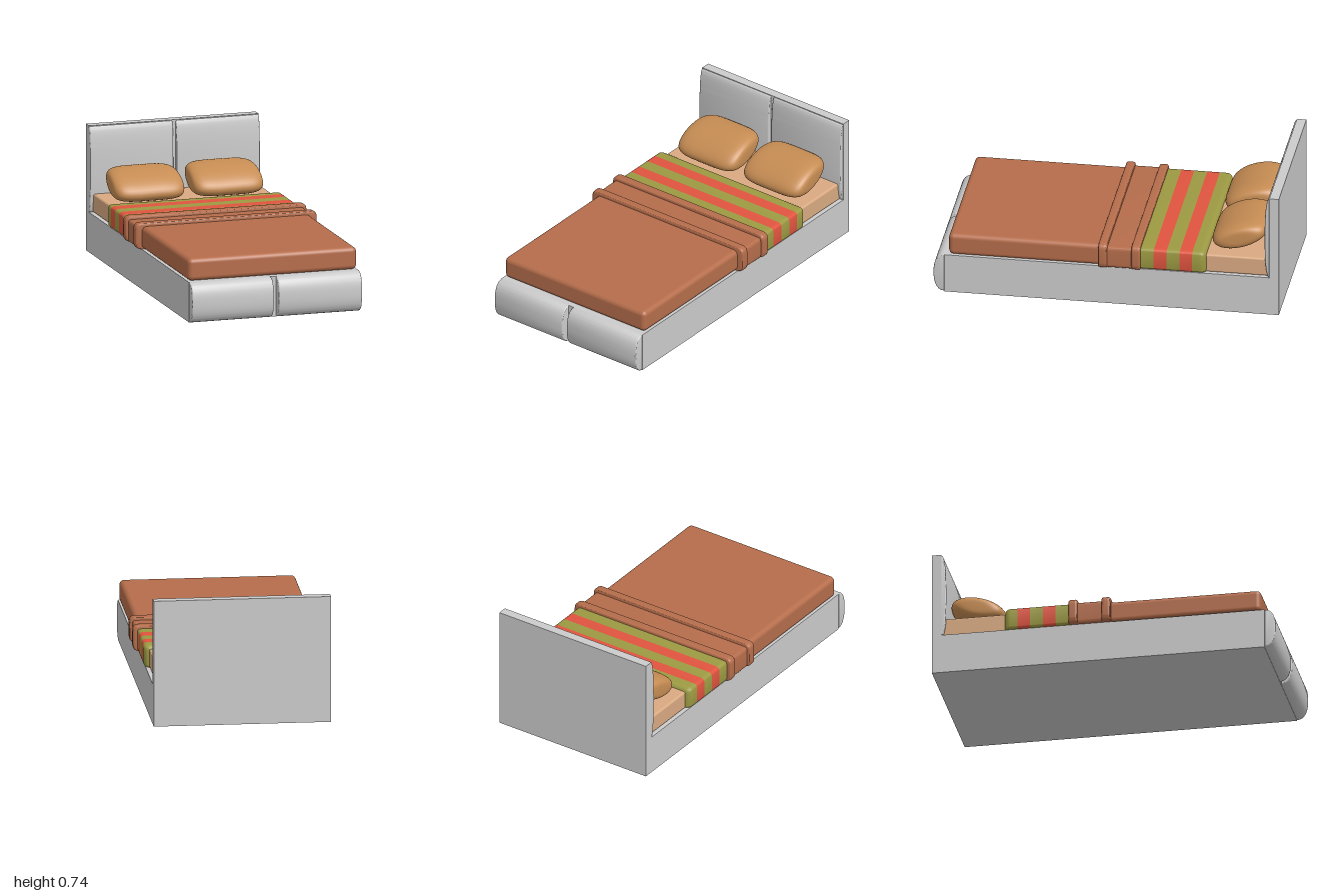
import * as THREE from 'three';
import { toCreasedNormals } from 'three/addons/utils/BufferGeometryUtils.js';
import { RoundedBoxGeometry } from 'three/addons/geometries/RoundedBoxGeometry.js';

const BASE_TOP = 0.235;
const material = (color) => new THREE.MeshStandardMaterial({ color });
const GREY = material(0xcccccc);
const BROWN = material(0xb56d4b);
const GREEN = material(0x9c9a42);
const RED = material(0xe0543f);
const TAN = material(0xd9aa82);
const PILLOW = material(0xc68c53);

function add(group, name, geometry, mat) {
  const mesh = new THREE.Mesh(geometry, mat);
  mesh.name = name;
  group.add(mesh);
  return mesh;
}

// Plain or rounded box given by its limits on each axis
function block([x0, x1], [y0, y1], [z0, z1], radius = 0) {
  const size = [x1 - x0, y1 - y0, z1 - z0];
  const geo = radius ? new RoundedBoxGeometry(...size, 5, radius) : new THREE.BoxGeometry(...size);
  return geo.translate((x0 + x1) / 2, (y0 + y1) / 2, (z0 + z1) / 2);
}

// Upholstered pad: bulging side profile swept along x
function pad([x0, x1], [y0, y1], zBack, bulge) {
  const bevel = 0.006, n = 2.4, points = [];
  for (let i = 0; i <= 32; i++) {
    const a = -Math.PI / 2 + (i / 32) * Math.PI;
    const s = Math.sin(a), c = Math.max(0, Math.cos(a));
    points.push(new THREE.Vector2(
      bulge * c ** (2 / n),
      (y0 + y1) / 2 + ((y1 - y0) / 2) * Math.sign(s) * Math.abs(s) ** (2 / n)));
  }
  const geo = new THREE.ExtrudeGeometry(new THREE.Shape(points), {
    depth: x1 - x0 - 2 * bevel, bevelThickness: bevel, bevelSize: bevel, bevelOffset: -bevel, bevelSegments: 3,
  });
  geo.rotateY(-Math.PI / 2).translate(x1 - bevel, 0, zBack);
  return toCreasedNormals(geo, 0.7);
}

// Cloth band across the bed: rounded section swept along z, its ends drawn in by the given amounts
function band(halfWidth, top, z0, z1, radius, insetBack = 0, insetFront = 0) {
  const w = halfWidth, r = radius, b = BASE_TOP;
  const shape = new THREE.Shape();
  shape.moveTo(-w + r, b);
  shape.lineTo(w - r, b);
  shape.quadraticCurveTo(w, b, w, b + r);
  shape.lineTo(w, top - r);
  shape.quadraticCurveTo(w, top, w - r, top);
  shape.lineTo(-w + r, top);
  shape.quadraticCurveTo(-w, top, -w, top - r);
  shape.lineTo(-w, b + r);
  shape.quadraticCurveTo(-w, b, -w + r, b);
  const geo = new THREE.ExtrudeGeometry(shape, {
    depth: z1 - z0, steps: insetBack || insetFront ? 24 : 1, bevelEnabled: false, curveSegments: 6,
  }).translate(0, 0, z0);
  const pos = geo.attributes.position;
  const draw = (distance, inset) => {
    if (!inset) return 0;
    const t = THREE.MathUtils.clamp(1 - distance / inset, 0, 1);
    return inset * (1 - Math.sqrt(1 - t * t));
  };
  for (let i = 0; i < pos.count; i++) {
    const z = pos.getZ(i);
    const d = draw(z - z0, insetBack) + draw(z1 - z, insetFront);
    pos.setX(i, pos.getX(i) * (1 - d / w));
    pos.setY(i, b + (pos.getY(i) - b) * (1 - d * 0.7 / (top - b)));
  }
  return toCreasedNormals(geo, 0.8);
}

// Pillow: sphere with its poles along x, squared off towards the ends
function pillowGeometry(hx, hy, hz) {
  const geo = new THREE.SphereGeometry(1, 40, 40).rotateZ(Math.PI / 2);
  const pos = geo.attributes.position;
  const n = 4.5;
  for (let i = 0; i < pos.count; i++) {
    const x = pos.getX(i), y = pos.getY(i), z = pos.getZ(i);
    const ring = Math.hypot(y, z);
    const grow = ring > 1e-5 ? ring ** (2 / n) / ring : 0;
    const end = Math.sign(x) * Math.abs(x) ** (2 / n);
    // one long edge is a little narrower than the other
    const taper = 1 + 0.04 * z * grow;
    pos.setXYZ(i, end * hx * taper, y * grow * hy, z * grow * hz);
  }
  geo.computeVertexNormals();
  return geo;
}

export function createModel() {
  const bed = new THREE.Group();
  bed.name = 'bed';

  // Frame
  add(bed, 'base', block([-0.51, 0.51], [0, BASE_TOP], [-0.945, 0.935]), GREY);
  add(bed, 'headboard', block([-0.51, 0.51], [0, 0.742], [-1, -0.945]), GREY);

  // Upholstered pads at head and foot
  for (const [side, head, foot] of [
    ['right', [-0.51, -0.01], [-0.51, -0.02]],
    ['left', [0.01, 0.51], [0.01, 0.51]],
  ]) {
    add(bed, `${side}HeadboardPad`, pad(head, [BASE_TOP, 0.737], -0.945, 0.028), GREY);
    add(bed, `${side}FootPad`, pad(foot, [0.003, BASE_TOP], 0.935, 0.065), GREY);
  }

  // Mattress
  add(bed, 'mattress', block([-0.49, 0.49], [BASE_TOP, 0.345], [-0.944, 0.88], 0.012), TAN);

  // Blanket and its folds
  add(bed, 'blanket', block([-0.507, 0.507], [BASE_TOP, 0.366], [-0.03, 0.913], 0.028), BROWN);
  add(bed, 'blanketTurnover', band(0.528, 0.366, -0.18, 0.02, 0.02), BROWN);
  for (const z of [0.017, -0.175]) {
    add(bed, 'blanketFold', band(0.545, 0.386, z - 0.026, z + 0.026, 0.035, 0.012, 0.012), BROWN);
  }

  // Striped throw
  const edges = [-0.578, -0.5, -0.427, -0.352, -0.277, -0.18];
  for (let i = 0; i < 5; i++) {
    add(bed, i % 2 ? 'redStripe' : 'greenStripe',
      band(0.52, 0.367, edges[i], edges[i + 1], 0.025, i === 0 ? 0.035 : 0), i % 2 ? RED : GREEN);
  }

  // Pillows leaning on the headboard
  for (const [name, x] of [['rightPillow', -0.238], ['leftPillow', 0.235]]) {
    const pillow = add(bed, name, pillowGeometry(0.208, 0.074, 0.169), PILLOW);
    pillow.position.set(x, 0.432, -0.754);
    pillow.rotation.x = 0.29;
  }
  return bed;
}
